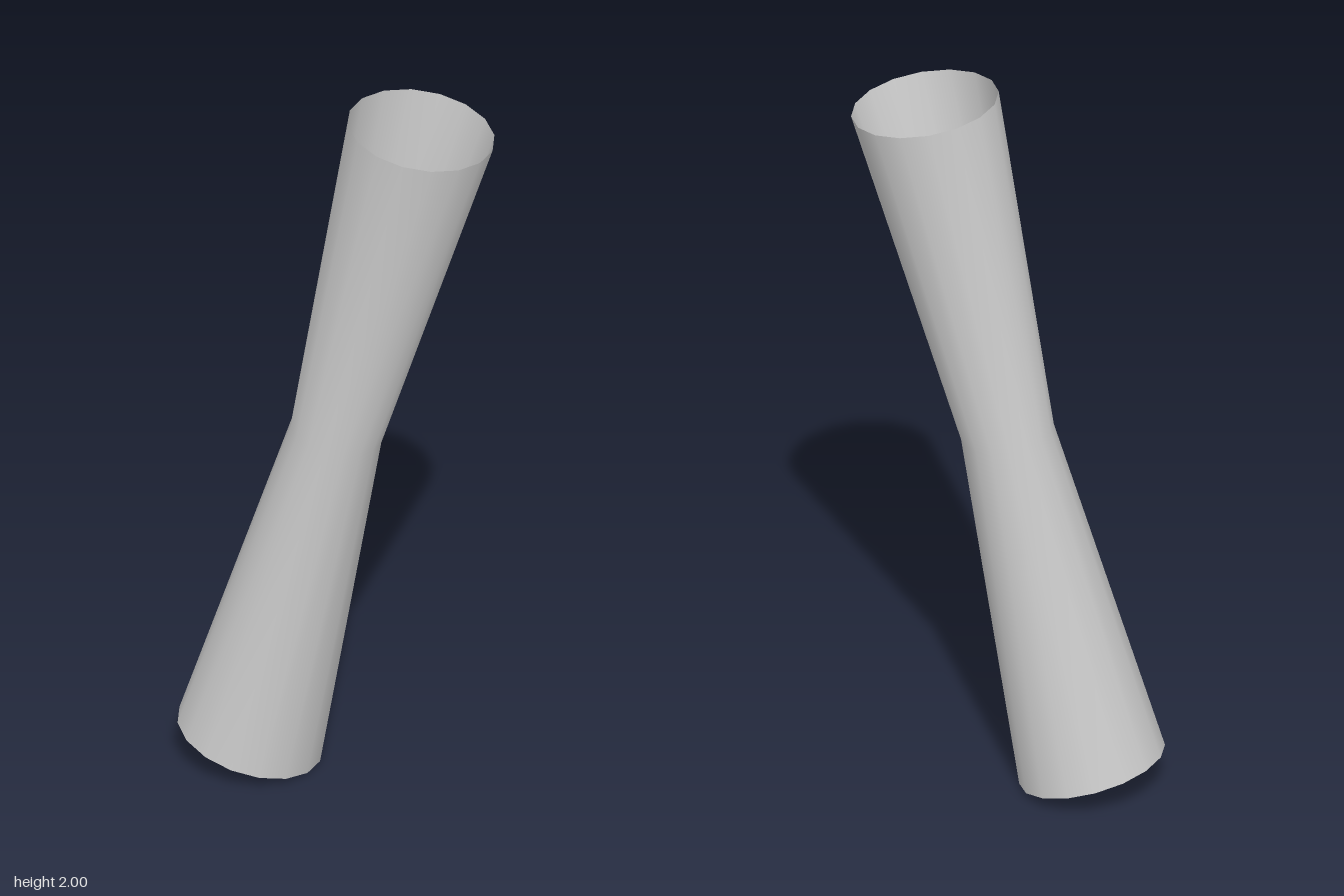
import * as THREE from 'three';

const SIDES = 16;

// Rings from bottom to top: centre (x, y), half-width direction (dx, dy), depth radius
const RINGS = [
  { x: -0.237, y: 0.06, dx: 0.192, dy: -0.055, r: 0.2 },
  { x: 0, y: 1.02, dx: 0.122, dy: -0.02, r: 0.128 },
  { x: 0.231, y: 1.967, dx: 0.195, dy: -0.033, r: 0.2 },
];

// Open tube skinned through the tilted rings, vertices shared for smooth normals
function skinRings(rings) {
  const positions = [], index = [];
  rings.forEach((ring, i) => {
    for (let j = 0; j < SIDES; j++) {
      const t = (j / SIDES) * Math.PI * 2;
      const c = Math.cos(t), s = Math.sin(t);
      positions.push(ring.x + ring.dx * c, ring.y + ring.dy * c, ring.r * s);
      if (i === rings.length - 1) continue;
      const a = i * SIDES + j;
      const b = i * SIDES + ((j + 1) % SIDES);
      index.push(a, a + SIDES, b, b, a + SIDES, b + SIDES);
    }
  });
  const geometry = new THREE.BufferGeometry();
  geometry.setAttribute('position', new THREE.Float32BufferAttribute(positions, 3));
  geometry.setIndex(index);
  geometry.computeVertexNormals();
  return geometry;
}

export function createModel() {
  const group = new THREE.Group();
  group.name = 'waistedTube';
  const material = new THREE.MeshStandardMaterial({ color: 0xcccccc, side: THREE.DoubleSide });
  const tube = new THREE.Mesh(skinRings(RINGS), material);
  tube.name = 'tubeWall';
  group.add(tube);
  return group;
}
